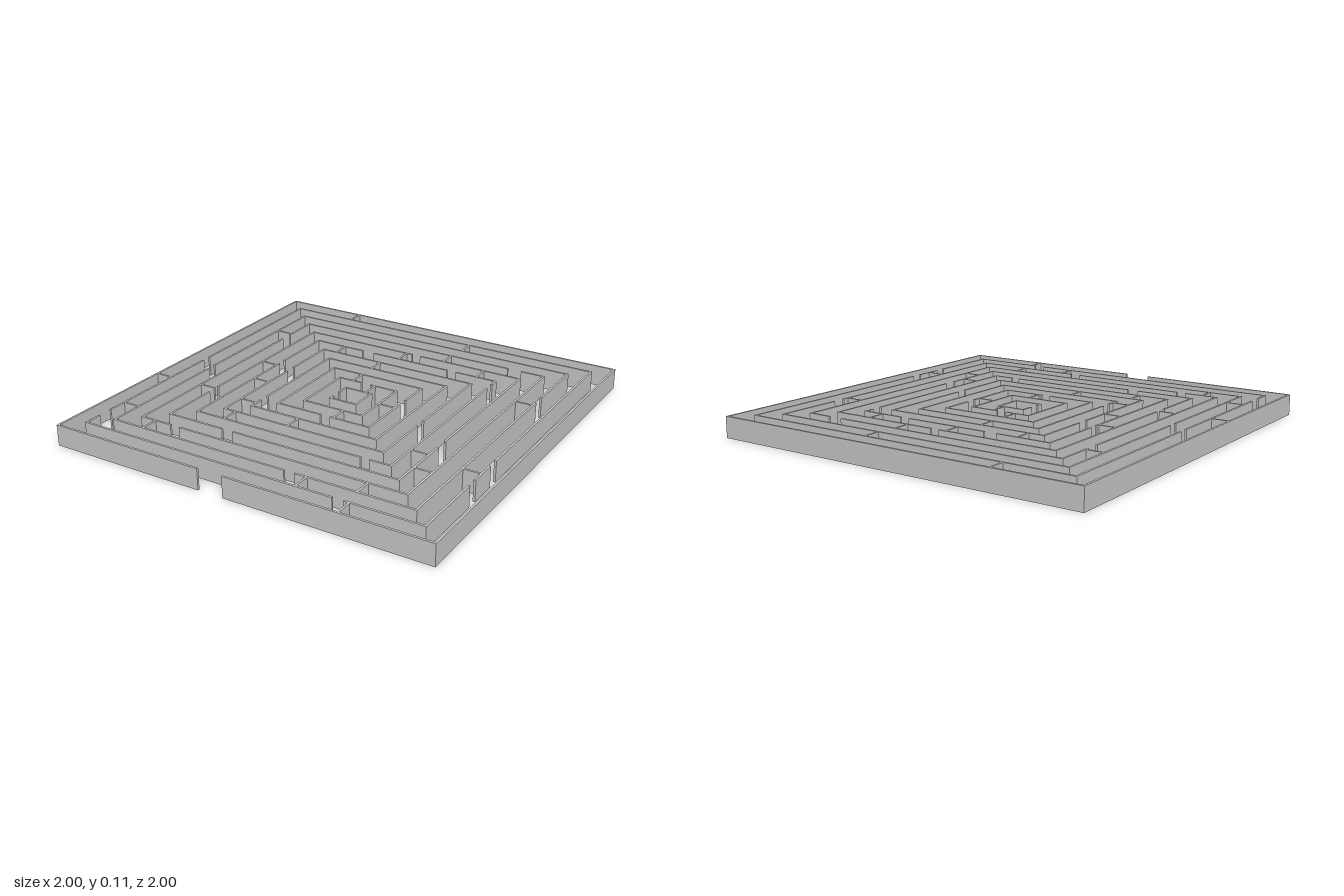
import * as THREE from 'three';

const H = 0.107, T = 0.011, STEP = 0.0922, RINGS = 11;
const mat = new THREE.MeshStandardMaterial({ color: 0xcccccc, flatShading: true });

// Distance from the centre to the middle of a ring's wall
const radius = (ring) => 1 - T / 2 - STEP * ring;

// Openings of each ring: [from, to] along x (front, back) or z (left, right)
const gaps = [
  { front: [[-0.17, -0.037]] },
  { front: [[0.465, 0.52]], right: [[-0.03, 0.02], [0.74, 0.815]], left: [[0.255, 0.31], [0.46, 0.515]] },
  { front: [[0.16, 0.215]], right: [[0.045, 0.095]], left: [[-0.465, -0.4]] },
  { back: [[0.52, 0.595]], right: [[-0.52, -0.45]], front: [[-0.545, -0.495]] },
  { back: [[0.005, 0.052]], left: [[0.2, 0.27]], right: [[0.255, 0.325]], front: [[-0.315, -0.255]] },
  { back: [[-0.25, -0.18], [0.26, 0.31]], left: [[-0.485, -0.43]], right: [[-0.2, -0.15]], front: [[0.38, 0.425]] },
  { left: [[0.07, 0.125]], right: [[-0.15, -0.09]] },
  { right: [[0.215, 0.27]] },
  { front: [[-0.01, 0.042]], left: [[-0.09, -0.035]] },
  { back: [[-0.035, 0.016]] },
  { right: [[-0.008, 0.045]] },
];

// Cross walls joining ring i to ring i + 1: [i, position along the side]
const crossWalls = {
  back: [[0, -0.55], [1, 0.205], [3, 0.19], [4, -0.03], [4, 0.425], [5, -0.36], [6, -0.09], [8, -0.088], [9, 0.042]],
  left: [[1, 0.393], [2, -0.366], [3, 0.495], [4, 0.355], [8, 0.008]],
  front: [[0, 0.547], [1, 0.277], [2, 0.527], [2, -0.638], [5, -0.376], [6, -0.077], [8, 0.06]],
  right: [[0, 0.282], [1, 0.64], [2, -0.538], [3, 0.275], [4, -0.13], [5, 0.073], [6, 0.308]],
};

// Which axis a side runs along, and on which side of the centre it lies
const sides = {
  front: { alongX: true, sign: 1 },
  back: { alongX: true, sign: -1 },
  left: { alongX: false, sign: 1 },
  right: { alongX: false, sign: -1 },
};

// Upright slab covering a0..a1 along a side and d0..d1 outward from the centre
function slab(side, a0, a1, d0, d1, name) {
  const { alongX, sign } = sides[side];
  const a = (a0 + a1) / 2, d = sign * (d0 + d1) / 2;
  const mesh = new THREE.Mesh(
    alongX ? new THREE.BoxGeometry(a1 - a0, H, d1 - d0) : new THREE.BoxGeometry(d1 - d0, H, a1 - a0), mat);
  mesh.position.set(alongX ? a : d, H / 2, alongX ? d : a);
  mesh.name = name;
  return mesh;
}

export function createModel() {
  const model = new THREE.Group();
  model.name = 'squareMaze';

  // Concentric square walls, split at their openings
  for (let i = 0; i < RINGS; i++) {
    const ring = new THREE.Group();
    ring.name = `ringWall${i + 1}`;
    const r = radius(i);
    for (const side in sides) {
      // Front and back own the corners; the other two fit between them
      const end = sides[side].alongX ? r + T / 2 : r - T / 2;
      let start = -end;
      for (const [from, to] of [...(gaps[i][side] || []), [end, end]]) {
        ring.add(slab(side, start, from, r - T / 2, r + T / 2, `${side}Wall`));
        start = to;
      }
    }
    model.add(ring);
  }

  // Short walls blocking the corridors
  const blocks = new THREE.Group();
  blocks.name = 'crossWalls';
  for (const side in crossWalls) {
    for (const [i, at] of crossWalls[side]) {
      blocks.add(slab(side, at - T / 2, at + T / 2, radius(i + 1) + T / 2, radius(i) - T / 2, `${side}CrossWall`));
    }
  }
  model.add(blocks);
  return model;
}
